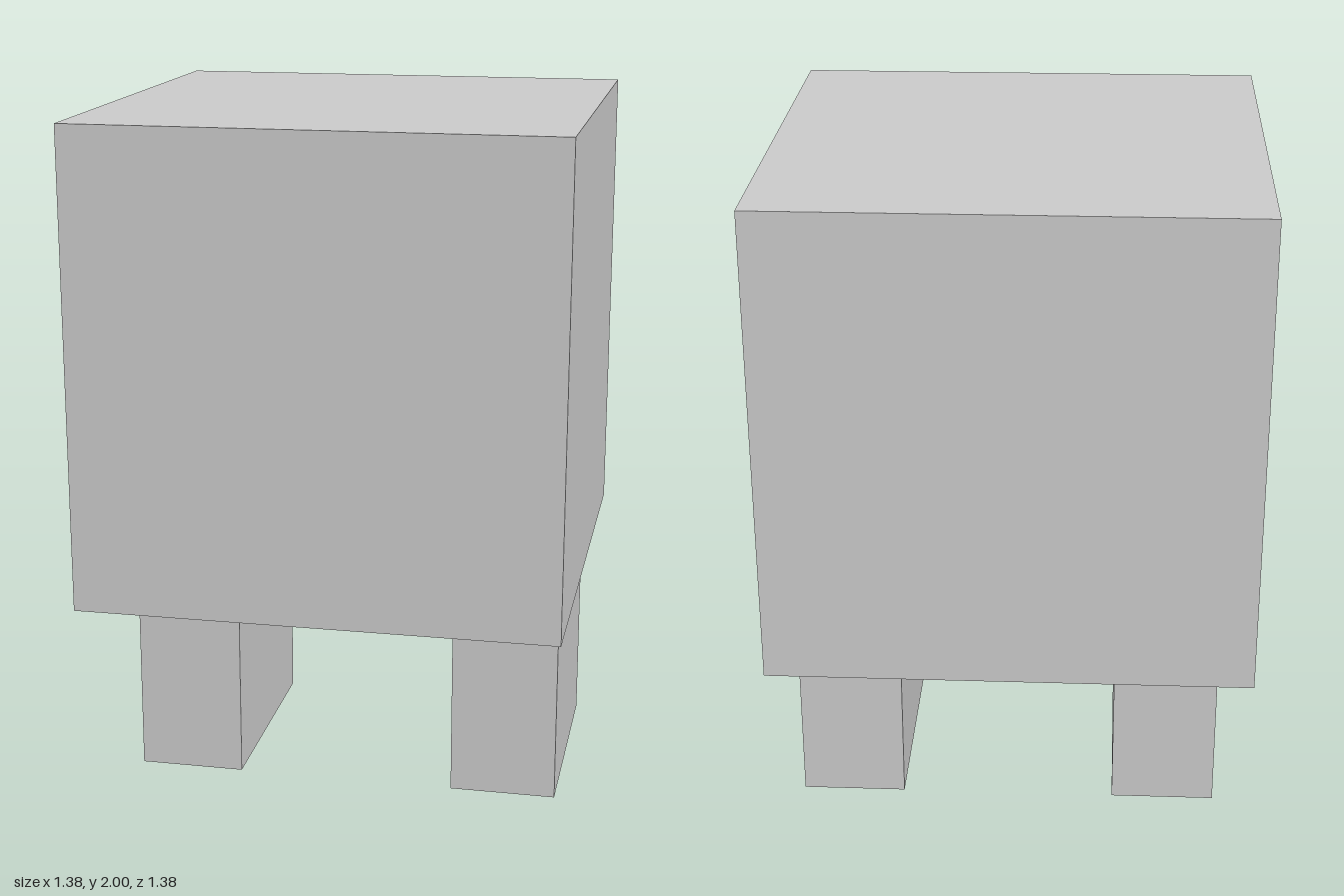
import * as THREE from 'three';

export function createModel() {
  const group = new THREE.Group();
  const material = new THREE.MeshStandardMaterial({ color: 0xcccccc, flatShading: true });

  // Adds a box from its size and the position of its bottom centre
  function addBox(name, width, height, depth, x, bottom) {
    const mesh = new THREE.Mesh(new THREE.BoxGeometry(width, height, depth), material);
    mesh.name = name;
    mesh.position.set(x, bottom + height / 2, 0);
    group.add(mesh);
  }

  const legHeight = 0.62;

  // Cubic body
  addBox('body', 1.385, 2 - legHeight, 1.385, 0, legHeight);

  // Two legs, set slightly towards +x
  const legOffset = 0.02;
  for (const [name, side] of [['leftLeg', 1], ['rightLeg', -1]]) {
    addBox(name, 0.31, legHeight, 0.685, legOffset + side * 0.477, 0);
  }

  return group;
}
